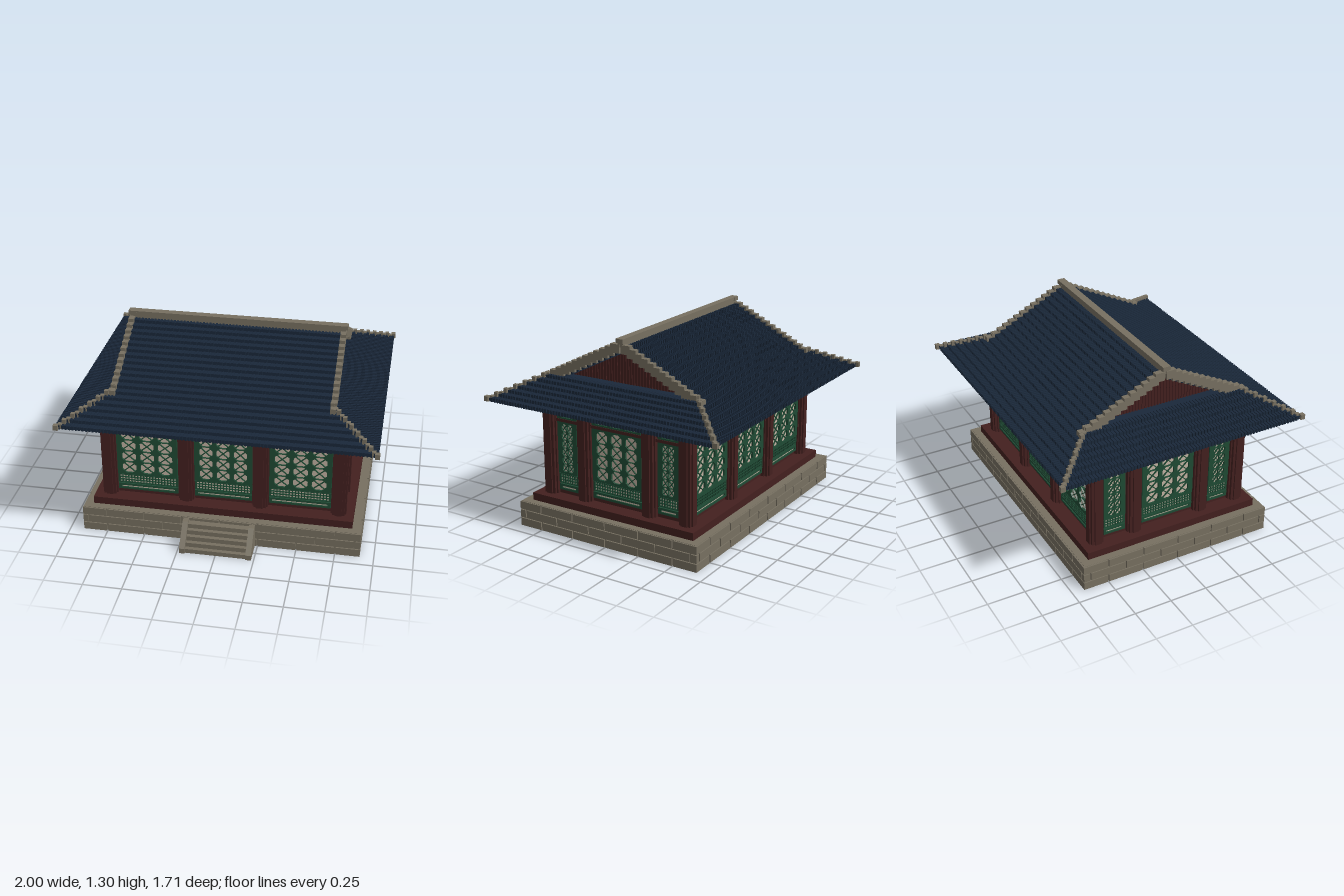
import * as THREE from 'three';
import { mergeGeometries } from 'three/addons/utils/BufferGeometryUtils.js';

const material = (name, color) => {
  const m = new THREE.MeshStandardMaterial({ color });
  m.name = name;
  return m;
};

// One mesh made of many blocks, each given as [x0, x1, y0, y1, z0, z1]
function blocks(name, mat, list) {
  const geos = list.map(([x0, x1, y0, y1, z0, z1]) =>
    new THREE.BoxGeometry(x1 - x0, y1 - y0, z1 - z0)
      .translate((x0 + x1) / 2, (y0 + y1) / 2, (z0 + z1) / 2));
  const mesh = new THREE.Mesh(mergeGeometries(geos), mat);
  mesh.name = name;
  return mesh;
}
const slab = (hx, y0, y1, hz) => [-hx, hx, y0, y1, -hz, hz];

const polygon = (points, Type = THREE.Shape) => new Type(points.map(p => new THREE.Vector2(...p)));
const rect = (x0, x1, y0, y1) => [[x0, y0], [x1, y0], [x1, y1], [x0, y1]];
// Rectangle with cut corners
function octagon(x0, x1, y0, y1) {
  const c = 0.28 * (x1 - x0), d = 0.28 * (y1 - y0);
  return [[x0 + c, y0], [x1 - c, y0], [x1, y0 + d], [x1, y1 - d],
    [x1 - c, y1], [x0 + c, y1], [x0, y1 - d], [x0, y0 + d]];
}
function plate(outline, holes, depth) {
  const shape = polygon(outline);
  holes.forEach(h => shape.holes.push(polygon(h, THREE.Path)));
  return new THREE.ExtrudeGeometry(shape, { depth, bevelEnabled: false });
}

// Latticed window bay facing +z, with its back on z = 0
function makeWindow(name, width, panels, cols, rows, green, cream) {
  const group = new THREE.Group();
  group.name = name;
  const w = width / 2, pitch = (width - 0.04) / panels, left = -w + 0.02;
  const transom = [], lattice = [], grille = [], bars = [];
  for (let p = 0; p < panels; p++) {
    const a = left + p * pitch + 0.011, b = left + (p + 1) * pitch - 0.011;
    transom.push(rect(a, b, 0.747, 0.777));
    const cw = (b - a) / cols, ch = 0.328 / rows;
    for (let c = 0; c < cols; c++) for (let r = 0; r < rows; r++) {
      const x = a + c * cw, y = 0.377 + r * ch;
      lattice.push(octagon(x + 0.0015, x + cw - 0.0015, y + 0.0015, y + ch - 0.0015));
      for (const s of [-1, 1]) {
        bars.push(new THREE.BoxGeometry(0.005, Math.hypot(cw, ch) * 0.8, 0.01)
          .rotateZ(s * Math.atan2(cw, ch)).translate(x + cw / 2, y + ch / 2, 0.009));
      }
    }
  }
  // Fine grille under the lattice panels
  const n = Math.round((width - 0.02) / 0.02), gp = (width - 0.02) / n;
  for (let i = 0; i < n; i++) for (let j = 0; j < 3; j++) {
    const x = -w + 0.01 + i * gp, y = 0.301 + j * 0.019;
    grille.push(rect(x + 0.003, x + gp - 0.003, y + 0.002, y + 0.016));
  }
  const frame = new THREE.Mesh(mergeGeometries([
    plate(rect(-w, w, 0.737, 0.787), transom, 0.018),
    plate(rect(-w, w, 0.365, 0.717), lattice, 0.018),
    plate(rect(-w, w, 0.297, 0.361), grille, 0.014),
    plate(rect(-w, w, 0.248, 0.29), [rect(-w + 0.02, w - 0.02, 0.262, 0.275)], 0.014),
  ]), green);
  frame.name = 'windowFrame';
  const crossBars = new THREE.Mesh(mergeGeometries(bars), green);
  crossBars.name = 'crossBars';
  const paper = [[0.74, 0.784], [0.37, 0.712], [0.3, 0.358], [0.251, 0.287]]
    .map(([y0, y1]) => [-w + 0.003, w - 0.003, y0, y1, 0, 0.005]);
  group.add(frame, crossBars, blocks('windowPaper', cream, paper));
  return group;
}

export function createModel() {
  const model = new THREE.Group();
  model.name = 'pavilion';
  const stone = material('stone', 0x777061);
  const red = material('red timber', 0x43201f);
  const green = material('green lattice', 0x1f4a34);
  const cream = material('window paper', 0xc2b2a2);
  const navy = material('roof tile', 0x1a283a);

  // Stone base with three courses of staggered bricks
  const bricks = [slab(0.9, 0, 0.17, 0.66)];
  for (let row = 0; row < 3; row++) {
    const y0 = row * 0.058, y1 = y0 + 0.052;
    for (const [half, other, alongX] of [[0.91, 0.67, true], [0.67, 0.91, false]]) {
      const shift = row === 1 ? 0 : 0.125;
      for (let k = -5; k <= 5; k++) {
        const a = Math.max(-half, k * 0.25 - 0.12 + shift), b = Math.min(half, k * 0.25 + 0.12 + shift);
        if (b - a < 0.02) continue;
        for (const s of [-1, 1]) {
          const lo = Math.min(s * other, s * (other - 0.02)), hi = lo + 0.02;
          bricks.push(alongX ? [a, b, y0, y1, lo, hi] : [lo, hi, y0, y1, a, b]);
        }
      }
    }
  }
  model.add(blocks('stoneBase', stone, bricks));

  // Front steps between sloping cheek walls
  const treads = [];
  for (let i = 0; i < 5; i++) treads.push([-0.2, 0.2, 0, 0.03 * (i + 1), 0.65, 0.82 - i * 0.027]);
  model.add(blocks('steps', stone, treads));
  for (const x of [-0.233, 0.197]) {
    const geo = plate([[-0.65, 0], [-0.65, 0.165], [-0.71, 0.165], [-0.83, 0.035], [-0.83, 0]].reverse(), [], 0.036);
    const cheek = new THREE.Mesh(geo.rotateY(Math.PI / 2).translate(x, 0, 0), stone);
    cheek.name = 'stepCheek';
    model.add(cheek);
  }

  // Timber sill, walls and beams
  model.add(blocks('sill', red, [slab(0.85, 0.17, 0.22, 0.61)]));
  model.add(blocks('walls', red, [slab(0.75, 0.22, 0.8, 0.51), slab(0.77, 0.717, 0.736, 0.528)]));
  model.add(blocks('beams', red, [slab(0.825, 0.795, 0.815, 0.585), slab(0.84, 0.812, 0.846, 0.597)]));

  // Columns, rounded off in three nested blocks
  const columns = [];
  const addColumn = (x, z) => {
    for (const [a, b] of [[0.05, 0.022], [0.04, 0.04], [0.022, 0.05]]) {
      columns.push([x - a, x + a, 0.22, 0.797, z - b, z + b]);
    }
  };
  for (const s of [-1, 1]) {
    for (const x of [-0.752, -0.243, 0.243, 0.752]) addColumn(x, s * 0.512);
    for (const z of [-0.243, 0.243]) addColumn(s * 0.752, z);
  }
  model.add(blocks('columns', red, columns));

  // Window bays on all four sides
  for (const s of [1, -1]) {
    for (const x of [-0.5, 0, 0.5]) {
      const bay = makeWindow('longSideWindow', x ? 0.4 : 0.376, 3, 1, 4, green, cream);
      bay.position.set(x, 0, s * 0.51);
      bay.rotation.y = s > 0 ? 0 : Math.PI;
      model.add(bay);
    }
    for (const z of [-0.38, 0, 0.38]) {
      const bay = z ? makeWindow('narrowSideWindow', 0.15, 1, 2, 6, green, cream)
        : makeWindow('wideSideWindow', 0.37, 3, 1, 4, green, cream);
      bay.position.set(s * 0.75, 0, z);
      bay.rotation.y = s * Math.PI / 2;
      model.add(bay);
    }
  }

  // Stepped tile courses: hipped below, gabled above, with ribs along the slope
  const rise = 0.0215, run = 0.043, rib = 0.0055;
  const courses = [], ribs = [], verge = [];
  for (let i = 0; i < 19; i++) {
    const y = 0.845 + i * rise, hz = 0.825 - i * run, top = y + rise;
    const hipped = i < 7, hx = hipped ? 0.985 - i * run : 0.69;
    if (hipped) courses.push(slab(hx, y, top, hz));
    for (const s of [-1, 1]) {
      const span = (a, b) => [Math.min(s * a, s * b), Math.max(s * a, s * b)];
      const inner = Math.max(0, hz - 0.1);
      if (!hipped) courses.push([-hx, hx, y, top, ...span(inner, hz)]);
      for (let k = -45; k <= 45; k++) {
        const u = k * rise;
        if (Math.abs(u) < hx - 0.008) {
          ribs.push([u - rib, u + rib, y, top + 0.006, ...span(hz - run, hz + 0.007)]);
        }
        if (hipped && Math.abs(u) < hz - 0.008) {
          ribs.push([...span(hx - run, hx + 0.007), y, top + 0.006, u - rib, u + rib]);
        }
      }
      // Stone verge along the gable edge
      if (i >= 6) {
        for (const e of [-1, 1]) {
          const x = e * 0.692;
          verge.push([x - 0.018, x + 0.018, y - 0.022, top + 0.014, ...span(Math.max(0, hz - 0.045), hz + 0.02)]);
        }
      }
    }
  }
  model.add(blocks('roofCourses', navy, courses));
  model.add(blocks('roofRibs', navy, ribs));
  model.add(blocks('gableVerges', stone, verge));

  // Hip ridges running down to the four corners
  const hips = [];
  for (const sx of [-1, 1]) for (const sz of [-1, 1]) {
    for (let i = 0; i < 15; i++) {
      const r = i === 0 ? 0.015 : 0.013, d = i * run / 2;
      const x = sx * (0.985 - d), z = sz * (0.838 - d), y = 0.846 + Math.floor(i / 2) * rise;
      hips.push([x - r, x + r, y, y + rise + 0.012, z - r, z + r]);
    }
  }
  model.add(blocks('hipRidges', stone, hips));

  // Main ridge with end caps
  const ridge = [[-0.705, 0.705, 1.25, 1.292, -0.02, 0.02], [-0.705, 0.705, 1.285, 1.305, -0.025, 0.025]];
  for (const s of [-1, 1]) ridge.push([s * 0.69 - 0.028, s * 0.69 + 0.028, 1.278, 1.305, -0.026, 0.026]);
  model.add(blocks('mainRidge', stone, ridge));

  // Recessed gable walls faced with vertical boards
  const gable = new THREE.Mesh(
    plate([[-0.5, 0.98], [0.5, 0.98], [0, 1.23]], [], 1.24).rotateY(Math.PI / 2).translate(-0.62, 0, 0), red);
  gable.name = 'gableWall';
  model.add(gable);
  const boards = [];
  for (let k = -21; k <= 21; k++) {
    const z = k * rise;
    boards.push(slab(0.626, 0.98, 1.225 - Math.abs(z) * 0.5, 0.006).map((v, n) => (n > 3 ? v + z : v)));
  }
  model.add(blocks('gableBoards', red, boards));
  return model;
}
